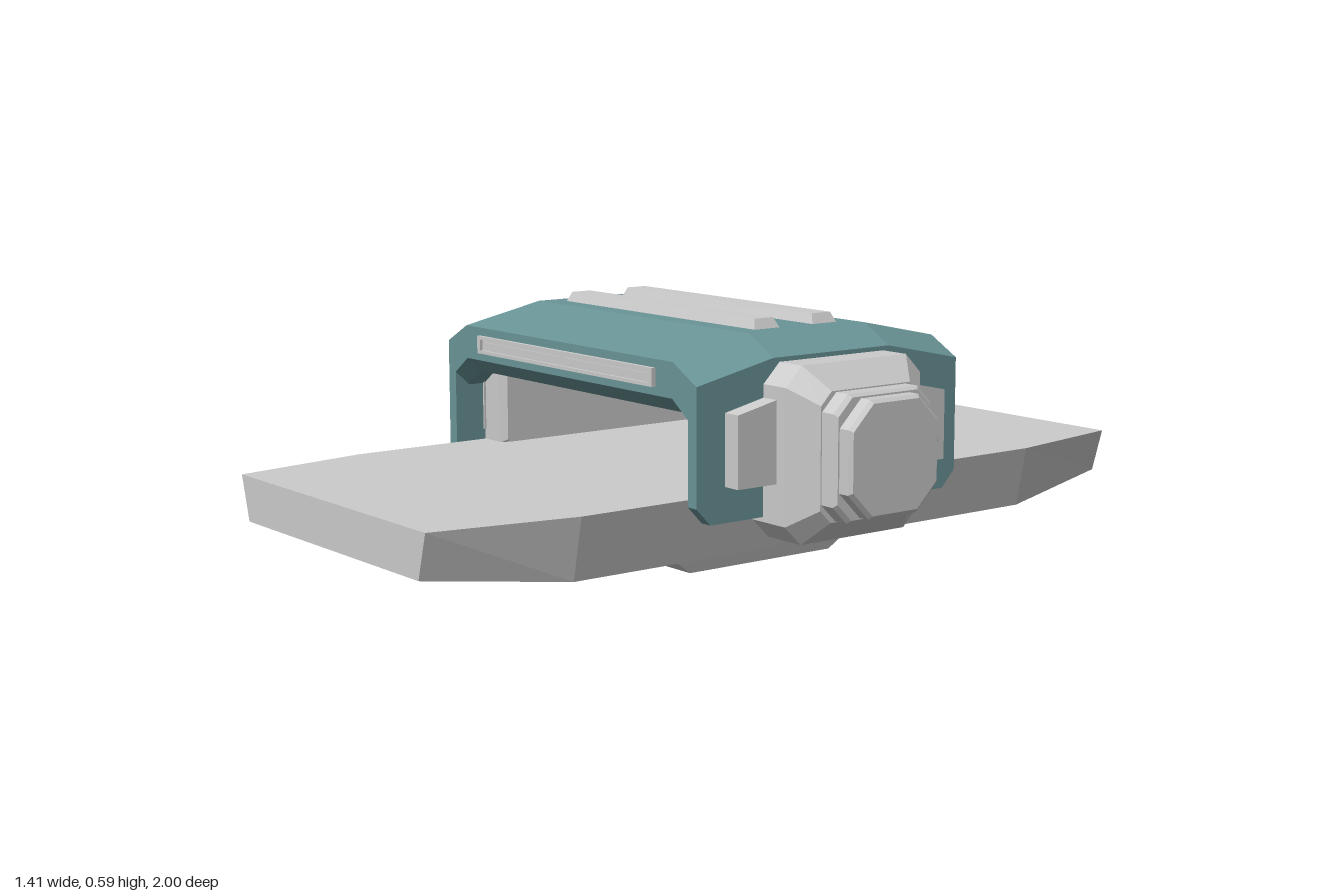
import * as THREE from 'three';

const grey = new THREE.MeshStandardMaterial({ color: 0xcccccc, flatShading: true });
const teal = new THREE.MeshStandardMaterial({ color: 0x6a9597, flatShading: true });

// Skins counter-clockwise xy loops stacked along +z; both ends are closed
// by a ladder of quads between points i and n-1-i.
function loft(sections) {
  const pos = [];
  const tri = (a, b, c) => {
    const area = new THREE.Triangle(a, b, c).getArea();
    if (area > 1e-7) [a, b, c].forEach((p) => pos.push(p.x, p.y, p.z));
  };
  const quad = (a, b, c, d) => { tri(a, b, c); tri(a, c, d); };
  const rings = sections.map(([z, loop]) => loop.map(([x, y]) => new THREE.Vector3(x, y, z)));
  const n = rings[0].length;
  for (let k = 0; k < rings.length - 1; k++) {
    for (let i = 0; i < n; i++) {
      const j = (i + 1) % n;
      quad(rings[k][i], rings[k][j], rings[k + 1][j], rings[k + 1][i]);
    }
  }
  const first = rings[0], last = rings[rings.length - 1];
  for (let i = 0; i < n / 2 - 1; i++) {
    quad(last[i], last[i + 1], last[n - 2 - i], last[n - 1 - i]);
    quad(first[n - 1 - i], first[n - 2 - i], first[i + 1], first[i]);
  }
  const g = new THREE.BufferGeometry();
  g.setAttribute('position', new THREE.Float32BufferAttribute(pos, 3));
  g.computeVertexNormals();
  return g;
}

// Rectangle with cut corners, centred at height cy
function cutRect(w, h, c, cy) {
  return [[-w + c, -h], [w - c, -h], [w, -h + c], [w, h - c],
    [w - c, h], [-w + c, h], [-w, h - c], [-w, -h + c]].map(([x, y]) => [x, y + cy]);
}

// Block with different half sizes at the bottom and top
function taperedBlock(y0, y1, [bx, bz], [tx, tz]) {
  const g = new THREE.BoxGeometry(2, 1, 2).toNonIndexed();
  const p = g.attributes.position;
  for (let i = 0; i < p.count; i++) {
    const top = p.getY(i) > 0;
    p.setXYZ(i, p.getX(i) * (top ? tx : bx), top ? y1 : y0, p.getZ(i) * (top ? tz : bz));
  }
  g.computeVertexNormals();
  return g;
}

function add(parent, name, geometry, material = grey) {
  const mesh = new THREE.Mesh(geometry, material);
  mesh.name = name;
  parent.add(mesh);
  return mesh;
}

const mirrorZ = (half) => [
  ...half.map(([z, ...r]) => [-z, ...r]),
  ...half.slice().reverse(),
];

export function createModel() {
  const model = new THREE.Group();
  model.name = 'model';

  // Long deck, with a groove under each side at the middle: z, top half width, bottom, groove ceiling
  const deckSections = mirrorZ([
    [1, 0.4, 0.12, 0.12], [0.66, 0.462, 0.08, 0.08],
    [0.105, 0.462, 0.08, 0.08], [0.065, 0.462, 0.08, 0.125],
  ]).map(([z, w, yb, yo]) => {
    const wo = w - 0.03 * (0.225 - yo) / (0.225 - yb);
    const right = [[0.27, yb], [0.27, yo], [wo, yo], [w, 0.225]];
    return [z, [...right.slice().reverse().map(([x, y]) => [-x, y]), ...right]];
  });
  add(model, 'deck', loft(deckSections));
  add(model, 'keelBlock', taperedBlock(0, 0.08, [0.25, 0.21], [0.268, 0.32]));

  // Arched canopy: z, foot height, outer shoulder, inner shoulder
  const canopySections = mirrorZ([
    [0.383, 0.21, 0.475, 0.4], [0.345, 0.17, 0.483, 0.365], [0.17, 0.17, 0.52, 0.365],
  ]).map(([z, foot, so, si]) => {
    const outer = [[0.495, foot], [0.495, so], [0.412, so + 0.045]];
    const inner = [[0.465, foot], [0.465, si], [0.41, si + 0.04]];
    const flip = (list) => list.slice().reverse().map(([x, y]) => [-x, y]);
    return [z, [...outer, ...flip(outer), ...flip(inner).reverse(), ...inner.slice().reverse()]];
  });
  add(model, 'canopy', loft(canopySections), teal);

  // Roof ribs
  for (const z of [-0.088, 0.082]) {
    add(model, 'roofRib', taperedBlock(0.555, 0.588, [0.372, 0.04], [0.355, 0.027])).position.z = z;
  }

  // Framed grilles on the front and back of the canopy
  const rect = (path, w, h) => {
    path.moveTo(-w, -h); path.lineTo(w, -h); path.lineTo(w, h); path.lineTo(-w, h); path.closePath();
    return path;
  };
  const frameShape = rect(new THREE.Shape(), 0.35, 0.021);
  frameShape.holes.push(rect(new THREE.Path(), 0.337, 0.013));
  for (const turn of [0, Math.PI]) {
    const grille = new THREE.Group();
    grille.name = turn ? 'backGrille' : 'frontGrille';
    add(grille, 'grilleFrame', new THREE.ExtrudeGeometry(frameShape, { depth: 0.025, bevelEnabled: false }))
      .position.set(0, 0.48, 0.368);
    add(grille, 'grillePlate', new THREE.BoxGeometry(0.68, 0.03, 0.02)).position.set(0, 0.48, 0.376);
    for (const s of [-1, 1]) {
      const vane = new THREE.Shape([
        new THREE.Vector2(-0.155, 0.007), new THREE.Vector2(0, -0.007), new THREE.Vector2(0.155, 0.007),
      ]);
      add(grille, 'grilleVane', new THREE.ExtrudeGeometry(vane, { depth: 0.004, bevelEnabled: false }))
        .position.set(s * 0.168, 0.48, 0.385);
    }
    grille.rotation.y = turn;
    model.add(grille);
  }

  // Side pods, lofted outward from the canopy walls
  const podRing = ([x, w, h, c]) => [x, cutRect(w, h, c, 0.312)];
  const podParts = {
    podBody: [[0.46, 0.198, 0.198, 0.045], [0.57, 0.198, 0.198, 0.045], [0.625, 0.145, 0.145, 0.03]],
    podCollar: [[0.62, 0.142, 0.142, 0.04], [0.662, 0.142, 0.142, 0.04], [0.67, 0.135, 0.135, 0.04]],
    podCap: [[0.665, 0.131, 0.131, 0.06], [0.698, 0.131, 0.131, 0.06], [0.706, 0.123, 0.123, 0.057]],
    innerLining: [[0.385, 0.285, 0.1, 0.02], [0.4, 0.3, 0.11, 0.02], [0.47, 0.3, 0.11, 0.02]],
  };
  for (const side of [1, -1]) {
    const pod = new THREE.Group();
    pod.name = side > 0 ? 'leftPod' : 'rightPod';
    for (const [name, rings] of Object.entries(podParts)) {
      add(pod, name, loft(rings.map(podRing))).rotation.y = Math.PI / 2;
    }
    // Bracket behind the pod, its upper edge dropping toward both ends
    const bracket = [[-0.305, 0.25], [0.305, 0.25], [0.305, 0.412], [0.19, 0.437], [-0.19, 0.437], [-0.305, 0.412]];
    add(pod, 'podBracket', loft([[0.46, bracket], [0.54, bracket]])).rotation.y = Math.PI / 2;
    pod.rotation.y = side > 0 ? 0 : Math.PI;
    model.add(pod);
  }
  return model;
}
